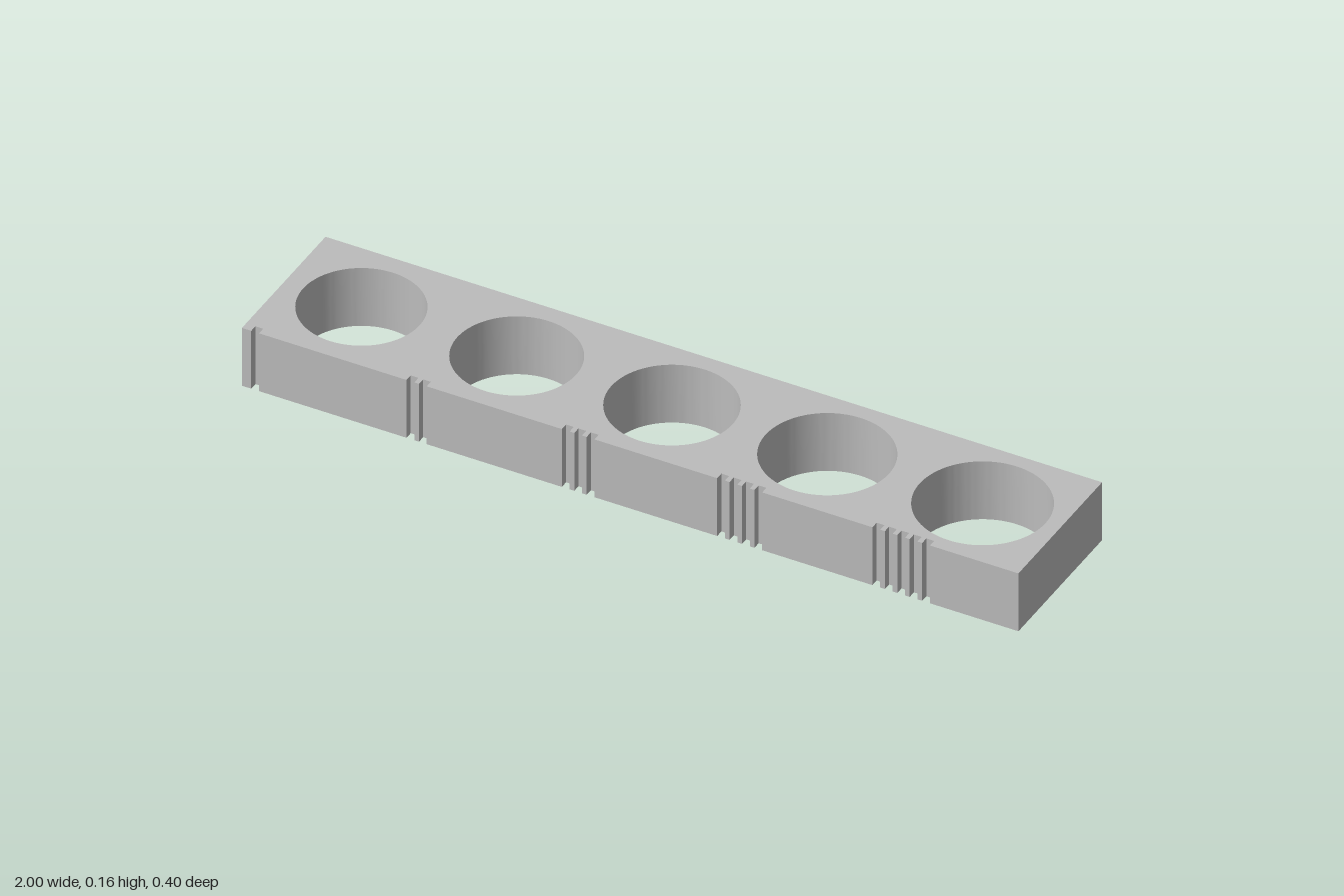
import * as THREE from 'three';
import { toCreasedNormals } from 'three/addons/utils/BufferGeometryUtils.js';

const HEIGHT = 0.162, HALF_DEPTH = 0.2;
const NOTCH = 0.02, PITCH = 0.032;

export function createModel() {
  const group = new THREE.Group();
  group.name = 'holeGauge';
  const grey = new THREE.MeshStandardMaterial({ color: 0xbcbcbc });
  grey.name = 'grey';

  // Plan outline; the front edge carries 1 to 5 counting notches beside the holes
  const outline = new THREE.Shape();
  outline.moveTo(-1, -HALF_DEPTH);
  for (let i = 0; i < 5; i++) {
    for (let n = 0; n <= i; n++) {
      const x = -0.976 + i * 0.4 + n * PITCH;
      outline.lineTo(x, -HALF_DEPTH);
      outline.lineTo(x, -HALF_DEPTH + NOTCH);
      outline.lineTo(x + NOTCH, -HALF_DEPTH + NOTCH);
      outline.lineTo(x + NOTCH, -HALF_DEPTH);
    }
  }
  outline.lineTo(1, -HALF_DEPTH);
  outline.lineTo(1, HALF_DEPTH);
  outline.lineTo(-1, HALF_DEPTH);
  outline.closePath();

  // Five through holes, each slightly wider than the last
  for (let i = 0; i < 5; i++) {
    const hole = new THREE.Path();
    hole.absarc(-0.8 + i * 0.4, 0, 0.15 + i * 0.003, 0, Math.PI * 2, true);
    outline.holes.push(hole);
  }

  // Extrude upward, with smooth hole walls and sharp edges
  const solid = new THREE.ExtrudeGeometry(outline, {
    depth: HEIGHT, bevelEnabled: false, curveSegments: 64,
  });
  solid.rotateX(-Math.PI / 2);
  const block = new THREE.Mesh(toCreasedNormals(solid, 0.5), grey);
  block.name = 'notchedBlock';
  group.add(block);
  return group;
}
